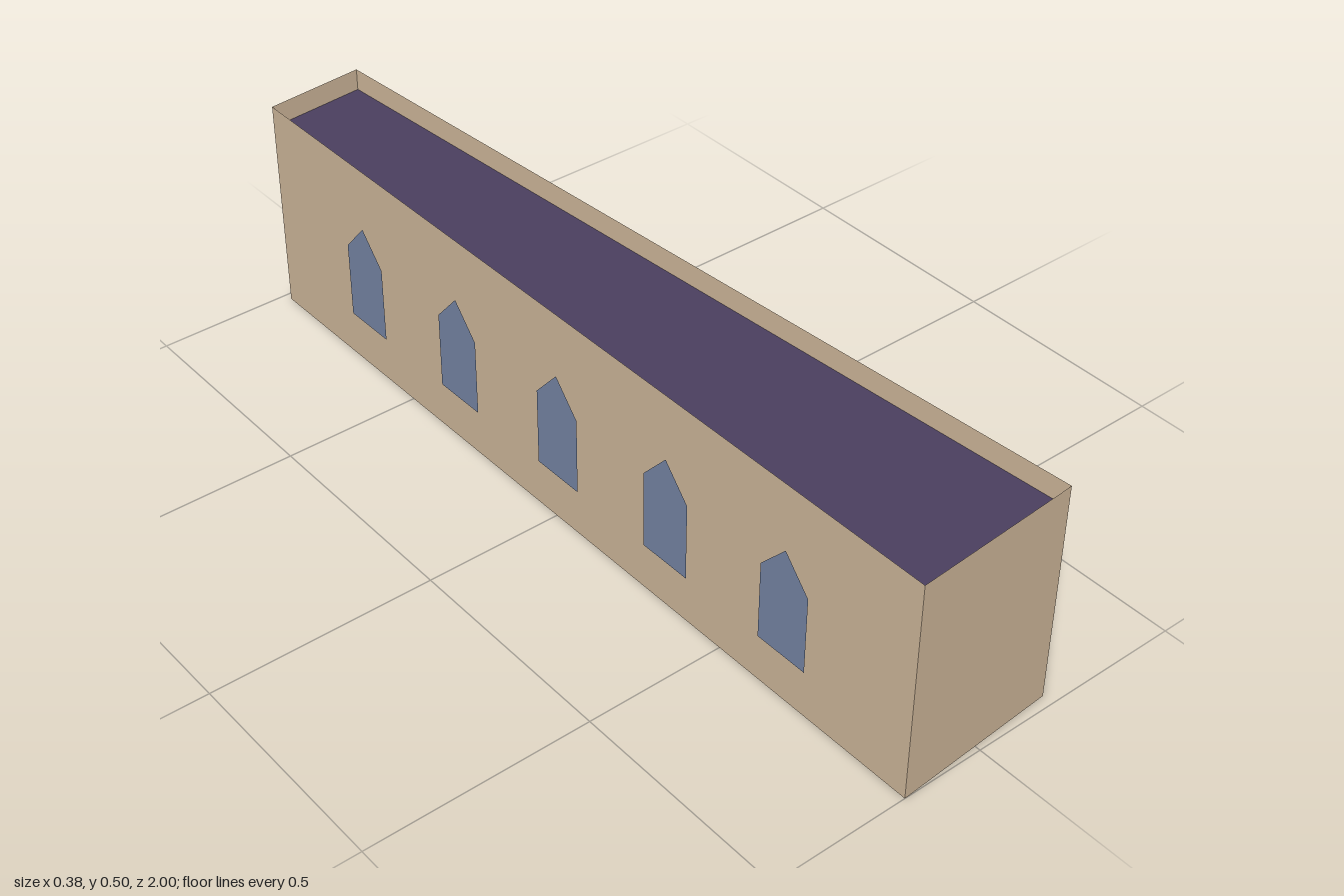
import * as THREE from 'three';

const HEIGHT = 0.5, ROOF_Y = 0.45, WINDOWS = 5;

// Footprint corners [x, z], anticlockwise from above, starting at the front
const CORNERS = [[-0.188, 1], [0.19, 0.975], [0.042, -1], [-0.188, -0.98]];

export function createModel() {
  const material = (name, color, side = THREE.FrontSide) => {
    const m = new THREE.MeshStandardMaterial({ color, side });
    m.name = name;
    return m;
  };
  const stone = material('tan stone', 0xc9b296, THREE.DoubleSide);
  const glass = material('blue glass', 0x7281a0);
  const roofing = material('dark purple roofing', 0x4a3f5e, THREE.DoubleSide);

  const model = new THREE.Group();
  model.name = 'taperedHall';

  // Pointed window outline, centred on x
  const windowShape = new THREE.Shape([
    [-0.063, 0.108], [0.063, 0.108], [0.063, 0.285], [0, 0.356], [-0.063, 0.285],
  ].map(([x, y]) => new THREE.Vector2(x, y)));
  const windowGeometry = new THREE.ShapeGeometry(windowShape);

  // Thin walls, open at top and bottom; the two long ones carry windows
  const names = ['frontWall', 'leftWall', 'backWall', 'rightWall'];
  CORNERS.forEach(([x0, z0], i) => {
    const [x1, z1] = CORNERS[(i + 1) % 4];
    const length = Math.hypot(x1 - x0, z1 - z0);
    const side = new THREE.Group();
    side.name = names[i];
    side.position.set((x0 + x1) / 2, 0, (z0 + z1) / 2);
    side.rotation.y = Math.atan2(z0 - z1, x1 - x0);

    const wall = new THREE.Mesh(new THREE.PlaneGeometry(length, HEIGHT), stone);
    wall.name = 'wall';
    wall.position.y = HEIGHT / 2;
    side.add(wall);

    if (i % 2 === 1) {
      for (let k = 1; k <= WINDOWS; k++) {
        const pane = new THREE.Mesh(windowGeometry, glass);
        pane.name = 'window';
        pane.position.set(length * (k / (WINDOWS + 1) - 0.5), 0, 0.003);
        side.add(pane);
      }
    }
    model.add(side);
  });

  // Flat roof sunk below the parapet
  const roofShape = new THREE.Shape(CORNERS.map(([x, z]) => new THREE.Vector2(x, -z)));
  const roof = new THREE.Mesh(new THREE.ShapeGeometry(roofShape), roofing);
  roof.name = 'roof';
  roof.rotation.x = -Math.PI / 2;
  roof.position.y = ROOF_Y;
  model.add(roof);

  return model;
}
